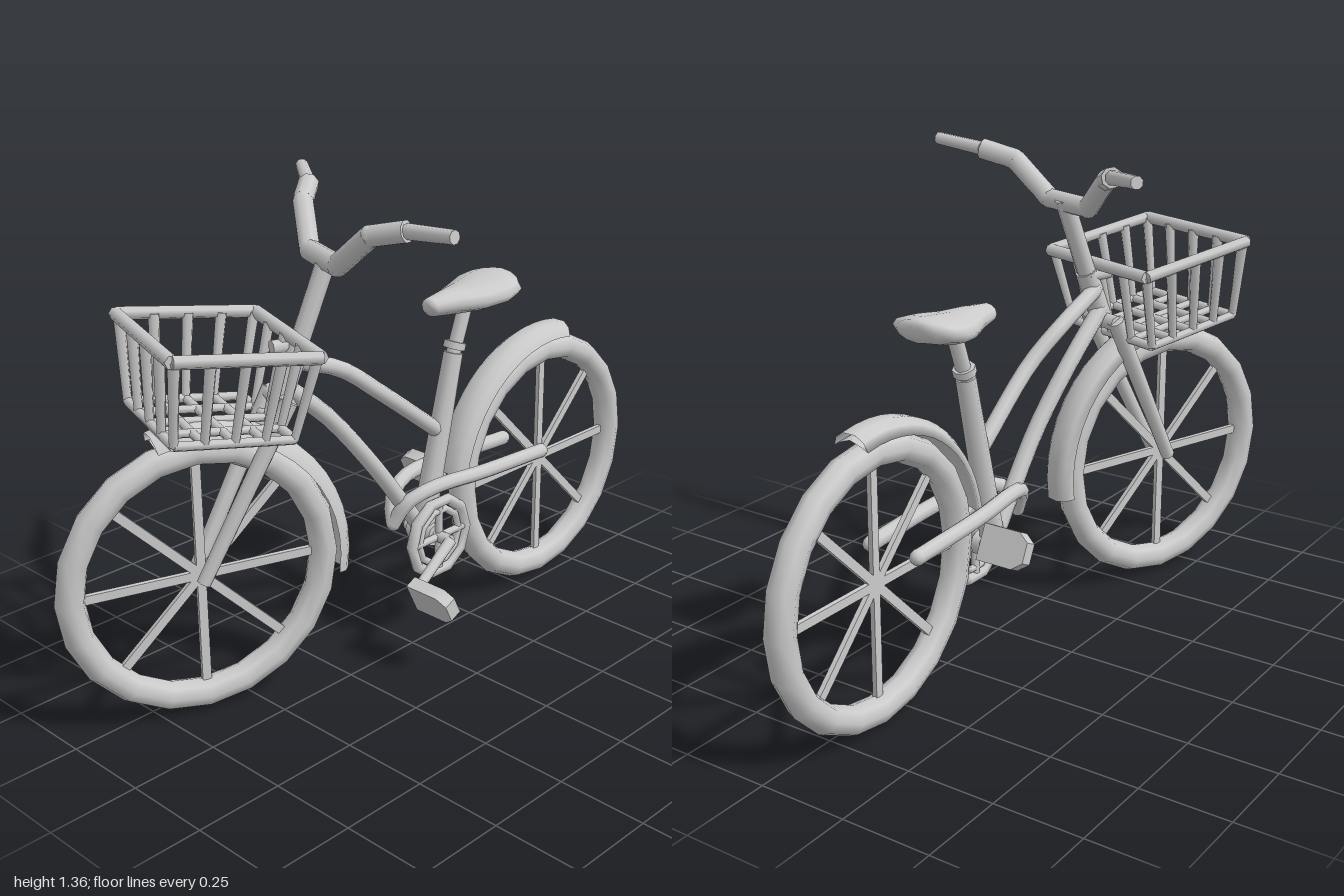
import * as THREE from 'three';

const material = new THREE.MeshStandardMaterial({ color: 0xcccccc, side: THREE.DoubleSide });
const V = (x, y, z) => new THREE.Vector3(x, y, z);
const UP = V(0, 1, 0);

function add(parent, name, geometry) {
  const mesh = new THREE.Mesh(geometry, material);
  mesh.name = name;
  parent.add(mesh);
  return mesh;
}

// Straight round bar from a to b
function rod(parent, name, a, b, r, rEnd = r, sides = 8) {
  const d = b.clone().sub(a);
  const mesh = add(parent, name, new THREE.CylinderGeometry(rEnd, r, d.length(), sides));
  mesh.position.copy(a).addScaledVector(d, 0.5);
  mesh.quaternion.setFromUnitVectors(UP, d.normalize());
}

// Bent tube through a few points
function tube(parent, name, points, r, segments = 12) {
  const curve = new THREE.CatmullRomCurve3(points, false, 'centripetal');
  add(parent, name, new THREE.TubeGeometry(curve, segments, r, 8));
  for (const p of [points[0], points[points.length - 1]]) {
    add(parent, name + 'End', new THREE.SphereGeometry(r, 8, 6)).position.copy(p);
  }
}

function group(parent, name, x, y, z) {
  const g = new THREE.Group();
  g.name = name;
  g.position.set(x, y, z);
  parent.add(g);
  return g;
}

// Tyre with four flat bars crossing at the centre as eight spokes
function wheel(parent, name, y, z) {
  const g = group(parent, name, 0, y, z);
  add(g, 'tyre', new THREE.TorusGeometry(0.351, 0.04, 8, 20).rotateY(Math.PI / 2));
  for (let i = 0; i < 4; i++) {
    add(g, 'spokePair', new THREE.BoxGeometry(0.014, 0.66, 0.025)).rotation.x = i * Math.PI / 4;
  }
  return g;
}

// Curved mudguard; angles run from +z up towards +y
function fender(wheelGroup, fromDeg, toDeg) {
  const profile = [[0.39, -0.052], [0.415, -0.042], [0.431, -0.02], [0.431, 0.02], [0.415, 0.042],
    [0.39, 0.052], [0.402, 0.032], [0.414, 0], [0.402, -0.032], [0.39, -0.052]];
  const rad = Math.PI / 180;
  const geometry = new THREE.LatheGeometry(profile.map(p => new THREE.Vector2(...p)), 14,
    0, (toDeg - fromDeg) * rad);
  // Lathe turns from +z to +x, then is stood upright
  geometry.rotateY(fromDeg * rad).rotateZ(Math.PI / 2);
  return add(wheelGroup, 'fender', geometry);
}

// Open basket with tapered slatted walls and a grid floor
function basket(parent) {
  const g = group(parent, 'basket', 0, 0.82, 0.325);
  g.rotation.x = -0.13;
  const at = (u, v, top) => V(u * (top ? 0.205 : 0.175), top ? 0.228 : 0.005, v * (top ? 0.185 : 0.158));
  const corners = [[-1, -1], [1, -1], [1, 1], [-1, 1]];
  corners.forEach(([u, v], i) => {
    const [u2, v2] = corners[(i + 1) % 4];
    rod(g, 'basketRim', at(u * 1.04, v * 1.04, true), at(u2 * 1.04, v2 * 1.04, true), 0.018, 0.018, 6);
    rod(g, 'basketBase', at(u, v, false), at(u2, v2, false), 0.013, 0.013, 6);
    for (let k = 0; k < 4; k++) {
      const s = u + (u2 - u) * k / 4, t = v + (v2 - v) * k / 4;
      rod(g, 'basketSlat', at(s, t, false), at(s, t, true), 0.012, 0.016, 6);
    }
  });
  for (const t of [-0.5, 0, 0.5]) {
    rod(g, 'basketFloorBar', at(-1, t, false), at(1, t, false), 0.012, 0.012, 6);
    rod(g, 'basketFloorBar', at(t, -1, false), at(t, 1, false), 0.012, 0.012, 6);
  }
}

// Saddle skinned over cross-sections running nose to tail: z, half width, bottom, top
function saddleGeometry() {
  const sections = [[-0.11, 0.014, 0.972, 0.998], [-0.118, 0.032, 0.958, 1.01], [-0.19, 0.05, 0.949, 1.018],
    [-0.27, 0.085, 0.945, 1.02], [-0.34, 0.108, 0.953, 1.029], [-0.39, 0.1, 0.965, 1.035],
    [-0.42, 0.065, 0.973, 1.034], [-0.426, 0.014, 0.99, 1.02]];
  const n = 12, positions = [], index = [];
  for (const [z, w, lo, hi] of sections) {
    for (let j = 0; j < n; j++) {
      const a = j / n * Math.PI * 2;
      positions.push(w * Math.cos(a), (lo + hi) / 2 + (hi - lo) / 2 * Math.sin(a), z);
    }
  }
  for (let i = 0; i < sections.length - 1; i++) {
    for (let j = 0; j < n; j++) {
      const a = i * n + j, b = i * n + (j + 1) % n;
      index.push(a, a + n, b, b, a + n, b + n);
    }
  }
  const last = (sections.length - 1) * n;
  for (let j = 1; j < n - 1; j++) index.push(0, j, j + 1, last, last + j + 1, last + j);
  const geometry = new THREE.BufferGeometry();
  geometry.setAttribute('position', new THREE.Float32BufferAttribute(positions, 3));
  geometry.setIndex(index);
  geometry.computeVertexNormals();
  return geometry;
}

export function createModel() {
  const model = new THREE.Group();
  model.name = 'bicycle';
  const frame = group(model, 'frame', -0.045, 0, 0);

  // Rear wheel
  fender(wheel(frame, 'rearWheel', 0.392, -0.61), 10, 101);

  // Frame tubes
  tube(frame, 'topTube', [V(-0.035, 0.945, 0.37), V(-0.032, 0.875, 0.19), V(-0.004, 0.79, 0.08), V(0, 0.62, -0.14)], 0.023);
  tube(frame, 'downTube', [V(-0.04, 0.88, 0.39), V(-0.03, 0.76, 0.25), V(-0.006, 0.6, 0.12), V(0, 0.44, 0), V(0, 0.32, -0.09)], 0.025);
  rod(frame, 'seatTube', V(0, 0.3, -0.085), V(0, 0.83, -0.215), 0.035, 0.028);
  rod(frame, 'seatClamp', V(0, 0.84, -0.217), V(0, 0.86, -0.224), 0.032);
  rod(frame, 'seatPost', V(0, 0.82, -0.212), V(0, 0.98, -0.272), 0.021);
  add(frame, 'saddle', saddleGeometry());
  for (const s of [-1, 1]) {
    tube(frame, 'chainStay', [V(0, 0.38, 0.03), V(s * 0.03, 0.445, 0.005), V(s * 0.058, 0.475, -0.08),
      V(s * 0.075, 0.47, -0.25), V(s * 0.075, 0.455, -0.53)], 0.022, 14);
  }

  // Chainring
  const crank = group(frame, 'crankset', 0, 0.313, -0.1);
  rod(crank, 'bottomBracket', V(-0.045, 0, 0), V(0.045, 0, 0), 0.035);
  rod(crank, 'crankAxle', V(-0.07, 0, 0), V(0.1, 0, 0), 0.018);
  for (const [r, t] of [[0.112, 0.017], [0.083, 0.011]]) {
    add(crank, 'chainring', new THREE.TorusGeometry(r, t, 6, 10).rotateY(Math.PI / 2)).position.x = 0.055;
  }
  for (let i = 0; i < 4; i++) {
    const a = i * Math.PI / 2;
    rod(crank, 'chainringArm', V(0.055, 0, 0), V(0.055, 0.105 * Math.sin(a), 0.105 * Math.cos(a)), 0.012, 0.012, 6);
  }

  // Crank arms and pedals: side, arm start, arm end
  for (const [s, inner, outer] of [[-1, 0.07, 0.095], [1, 0.1, 0.125]]) {
    rod(crank, 'crankArm', V(s * inner, 0, 0), V(s * outer, -s * 0.09, s * 0.17), 0.018, 0.015);
    // Pedal block narrowed at its outer end
    const block = new THREE.BoxGeometry(0.14, 0.1, 0.038, 3, 1, 1);
    const p = block.attributes.position;
    for (let i = 0; i < p.count; i++) {
      if (p.getX(i) * s > 0.05) p.setY(i, p.getY(i) * 0.55);
      else if (p.getX(i) * s > 0) p.setX(i, s * 0.04);
    }
    block.computeVertexNormals();
    const pedal = add(crank, 'pedal', block);
    pedal.position.set(s * (outer + 0.07), -s * 0.095, s * 0.17);
    pedal.rotation.x = 0.45;
  }

  // Turned steering assembly
  const steering = group(model, 'steering', -0.045, 0, 0.28);
  steering.rotation.y = -0.33;
  fender(wheel(steering, 'frontWheel', 0.4, 0.37), 75, 189).position.z = 0.01;
  rod(steering, 'headTube', V(0.01, 0.84, 0.14), V(0.01, 1.0, 0.075), 0.032);
  rod(steering, 'stem', V(0.01, 0.86, 0.13), V(0.01, 1.22, -0.01), 0.027);
  rod(steering, 'forkCrown', V(-0.062, 0.85, 0.135), V(0.065, 0.85, 0.135), 0.024);
  rod(steering, 'basketBracket', V(0, 0.99, 0.07), V(0, 0.99, 0.15), 0.02);
  for (const s of [-1, 1]) {
    rod(steering, 'forkLeg', V(s * 0.06, 0.86, 0.13), V(s * 0.035, 0.39, 0.375), 0.025, 0.02);
  }
  basket(steering);

  // Handlebar with swept ends and grips
  const bar = [V(0, 1.207, 0), V(0.085, 1.207, 0), V(0.2, 1.305, -0.035), V(0.285, 1.33, -0.09)];
  for (const s of [-1, 1]) {
    const side = bar.map(p => V(p.x * s, p.y, p.z));
    for (let i = 0; i < 3; i++) {
      rod(steering, 'handlebar', side[i], side[i + 1], 0.029);
      if (i) add(steering, 'handlebarBend', new THREE.SphereGeometry(0.029, 8, 6)).position.copy(side[i]);
    }
    rod(steering, 'grip', side[3], V(s * 0.435, 1.345, -0.137), 0.02, 0.018);
  }
  return model;
}
